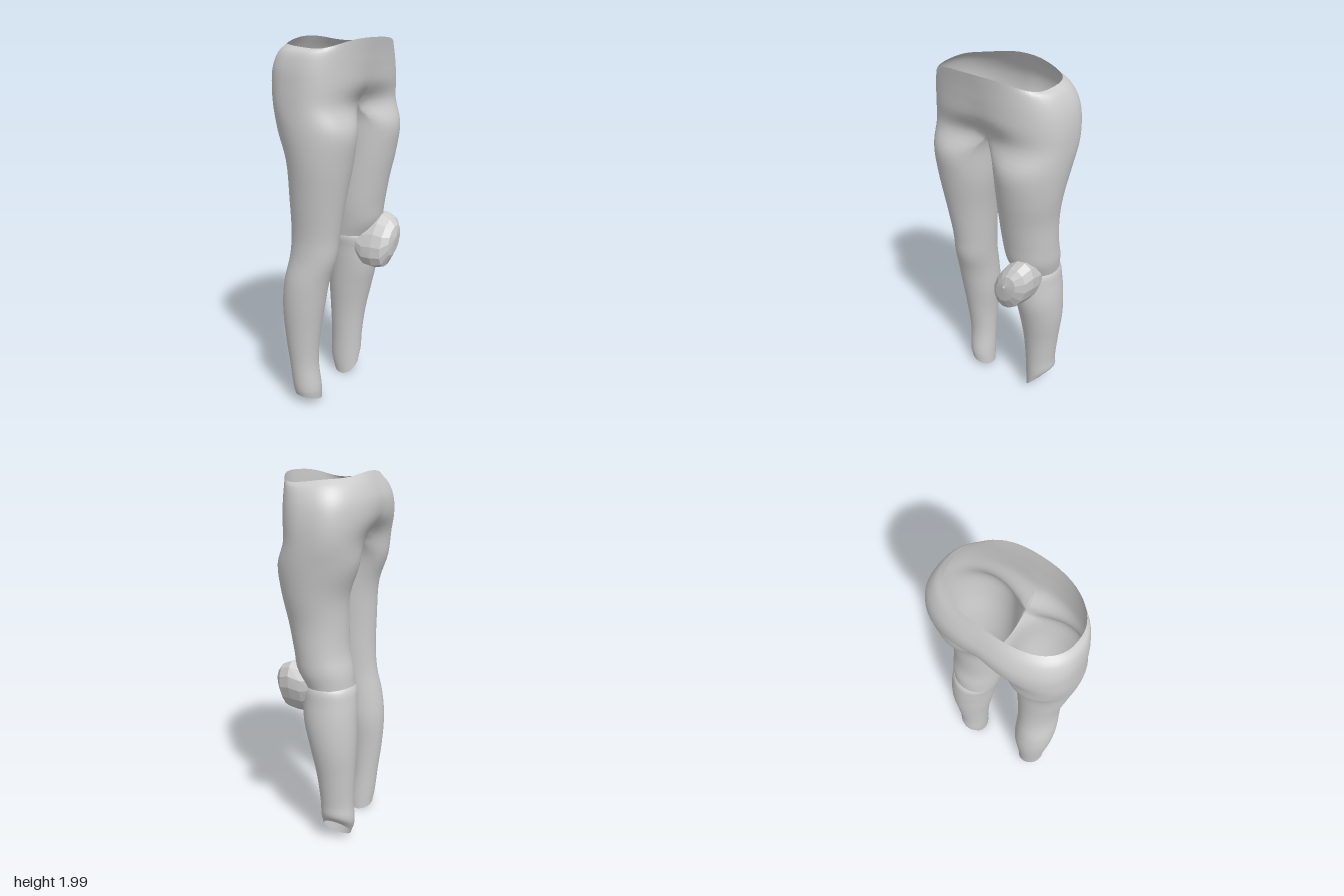
import * as THREE from 'three';
import { mergeGeometries, mergeVertices } from 'three/addons/utils/BufferGeometryUtils.js';

const V = (x, y, z) => new THREE.Vector3(x, y, z);
const N = 40;        // columns round a leg
const G = 6;         // inner columns on each side that end at the crotch
const STEPS = 4;     // rows between neighbouring cross-sections
const SEAM_X = -0.012;

const material = (flat = false) => new THREE.MeshStandardMaterial({
  color: 0xcccccc, side: THREE.DoubleSide, flatShading: flat, roughness: 0.9,
});

// Smooth column through its control points
const smooth = (pts) => new THREE.CatmullRomCurve3(pts).getPoints((pts.length - 1) * STEPS);

// Grid surface from neighbouring columns of points
function surface(columns, flip = false) {
  const rows = columns[0].length, pos = [], index = [];
  columns.forEach((c) => c.forEach((p) => pos.push(p.x, p.y, p.z)));
  for (let j = 0; j < columns.length - 1; j++) {
    for (let i = 0; i < rows - 1; i++) {
      const a = j * rows + i, b = a + rows;
      if (flip) index.push(a, b + 1, b, a, a + 1, b + 1);
      else index.push(a, b, b + 1, a, b + 1, a + 1);
    }
  }
  const g = new THREE.BufferGeometry();
  g.setAttribute('position', new THREE.Float32BufferAttribute(pos, 3));
  g.setIndex(index);
  return g;
}

function weld(parts) {
  const g = mergeVertices(mergeGeometries(parts), 1e-4);
  g.computeVertexNormals();
  return g;
}

// Point on a leg section [y, xMin, xMax, zBack, zFront, tilt]; angle 0 faces the other leg
function legPoint([y, xa, xb, zb, zf, tilt = 0], angle, side) {
  const c = -side * Math.cos(angle);
  return V((xa + xb) / 2 + c * (xb - xa) / 2, y + tilt * c,
    (zb + zf) / 2 + Math.sin(angle) * (zf - zb) / 2);
}

// Hip sections: [y, right half width, left half width, zBack, zFront, cleft depth]
const hips = [
  [1.67, 0.398, 0.397, -0.245, 0.236, 0.42],
  [1.77, 0.396, 0.396, -0.253, 0.235, 0.14],
  [1.86, 0.39, 0.38, -0.245, 0.234, 0.06],
  [1.93, 0.37, 0.345, -0.215, 0.236, 0.03],
  [1.955, 0.34, 0.31, -0.175, 0.24, 0],
];

// u runs 0..PI from the front seam round the hip to the back seam
function hipPoint(k, u, side) {
  const [y, wr, wl, zb, zf, dip] = hips[k];
  const s = Math.max(Math.sin(u), 0), c = Math.cos(u);
  const edge = side > 0 ? wl - SEAM_X : -wr - SEAM_X;
  const z = (zb + zf) / 2 + Math.sign(c) * Math.abs(c) ** 0.8 * (zf - zb) / 2 * (1 - dip * (1 - s) ** 2);
  // Wavy open waist edge
  const rim = k === hips.length - 1 ? 0.042 * Math.abs(c) ** 3 + 0.008 * Math.sin(4 * u) * s : 0;
  return V(SEAM_X + edge * s ** 0.9, y + rim, z);
}

// One half of the hips running down into its leg
function half(leg, side) {
  const angle = (j) => (j / N) * Math.PI * 2;
  const legRows = leg.length * STEPS + 1;
  const outer = [], inner = [];
  for (let j = G; j <= N - G; j++) {
    const u = ((j - G) / (N - 2 * G)) * Math.PI;
    outer.push(smooth([
      ...leg.map((r) => legPoint(r, angle(j), side)),
      ...hips.map((_, k) => hipPoint(k, u, side)),
    ]));
  }
  // Inner thigh, ending on the saddle between the legs
  const front = hipPoint(0, 0, side), back = hipPoint(0, Math.PI, side);
  for (let j = -G; j <= G; j++) {
    if (Math.abs(j) === G) {
      inner.push(outer[j < 0 ? outer.length - 1 : 0].slice(0, legRows));
      continue;
    }
    const t = j / G;
    const saddle = V(SEAM_X, 1.61 + 0.06 * t * t, THREE.MathUtils.lerp(back.z, front.z, (t + 1) / 2));
    inner.push(smooth([...leg.map((r) => legPoint(r, angle(j), side)), saddle]));
  }
  return [surface(outer, side < 0), surface(inner, side < 0)];
}

export function createModel() {
  const model = new THREE.Group();
  const add = (name, geometry, flat) => {
    const mesh = new THREE.Mesh(geometry, material(flat));
    mesh.name = name;
    model.add(mesh);
  };

  // Whole right leg, ankle to upper thigh
  const rightLeg = [
    [0.035, -0.295, -0.148, -0.12, 0.025, 0.0],
    [0.10, -0.305, -0.15, -0.13, 0.03],
    [0.25, -0.315, -0.155, -0.145, 0.015],
    [0.42, -0.333, -0.148, -0.165, 0.03],
    [0.60, -0.35, -0.127, -0.175, 0.06],
    [0.75, -0.35, -0.122, -0.16, 0.09],
    [0.88, -0.332, -0.113, -0.135, 0.13],
    [1.0, -0.33, -0.102, -0.125, 0.145],
    [1.2, -0.355, -0.08, -0.125, 0.178],
    [1.4, -0.383, -0.045, -0.135, 0.215],
    [1.55, -0.397, -0.027, -0.185, 0.232],
  ];
  rightLeg[0][5] = -0.025;
  rightLeg[0].splice(5, 1, -0.025);

  // Left thigh, open at the knee
  const leftThigh = [
    [0.92, 0.05, 0.315, -0.165, 0.10],
    [1.0, 0.04, 0.33, -0.158, 0.14],
    [1.1, 0.03, 0.333, -0.135, 0.157],
    [1.25, 0.025, 0.34, -0.128, 0.185],
    [1.4, 0.02, 0.365, -0.135, 0.215],
    [1.55, 0.002, 0.387, -0.185, 0.232],
  ];
  add('hipsAndThighs', weld([...half(rightLeg, -1), ...half(leftThigh, 1)]));

  // Left lower leg with a domed top and a slanted ankle cut
  const leftShin = [
    [0.075, 0.13, 0.255, -0.155, 0.0, 0.07],
    [0.14, 0.123, 0.285, -0.18, 0.005, 0.045],
    [0.25, 0.118, 0.288, -0.175, 0.01],
    [0.42, 0.108, 0.307, -0.182, 0.03],
    [0.58, 0.092, 0.33, -0.19, 0.065],
    [0.72, 0.08, 0.335, -0.19, 0.098],
    [0.84, 0.07, 0.325, -0.185, 0.105],
    [0.92, 0.065, 0.312, -0.17, 0.10],
    [0.955, 0.12, 0.26, -0.11, 0.06],
    [0.965, 0.185, 0.195, -0.03, -0.02],
  ];
  const shinColumns = [];
  for (let j = 0; j <= N; j++) {
    shinColumns.push(smooth(leftShin.map((r) => legPoint(r, (j / N) * Math.PI * 2, 1))));
  }
  add('leftLowerLeg', weld([surface(shinColumns)]));

  // Faceted, leaning knee stump: [z, x, y, short radius, long radius]
  const stump = [
    [0.02, 0.19, 0.90, 0.09, 0.11],
    [0.09, 0.195, 0.88, 0.10, 0.15],
    [0.15, 0.20, 0.89, 0.10, 0.165],
    [0.205, 0.20, 0.885, 0.09, 0.145],
    [0.238, 0.20, 0.90, 0.055, 0.09],
    [0.25, 0.20, 0.92, 0.005, 0.01],
  ];
  const lean = -0.5, sides = 14, stumpColumns = [];
  for (let j = 0; j <= sides; j++) {
    const a = (j / sides) * Math.PI * 2;
    stumpColumns.push(stump.map(([z, x, y, rs, rl]) => {
      const p = Math.cos(a) * rs, q = Math.sin(a) * rl;
      return V(x + p * Math.cos(lean) - q * Math.sin(lean), y + p * Math.sin(lean) + q * Math.cos(lean), z);
    }));
  }
  add('kneeStump', surface(stumpColumns).toNonIndexed(), true);
  model.getObjectByName('kneeStump').geometry.computeVertexNormals();

  return model;
}
